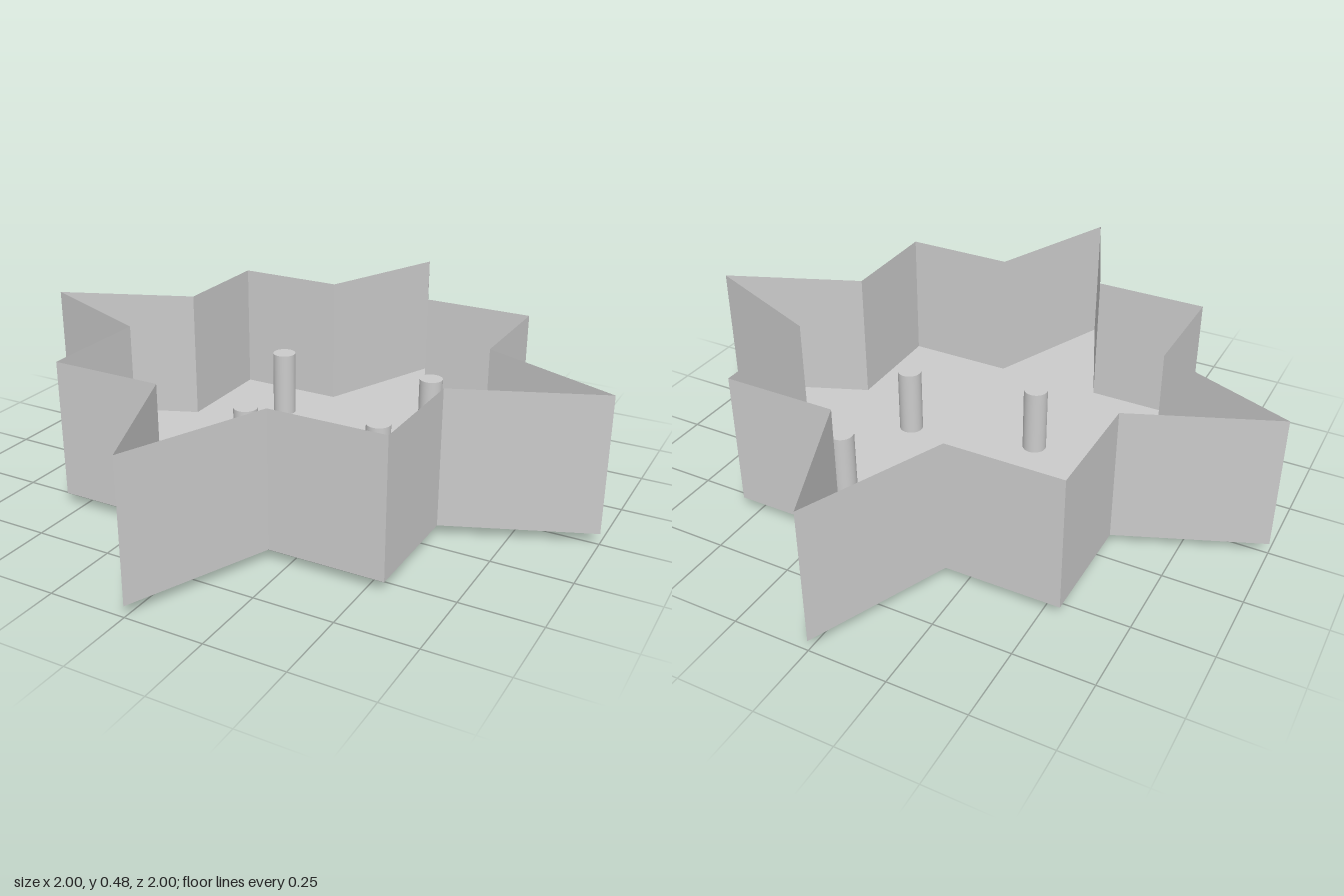
import * as THREE from 'three';

const FLOOR_Y = 0.035, RIM_Y = 0.48;
const PEG_RADIUS = 0.04, PEG_HEIGHT = 0.262;

// Eight-pointed outline: one quarter (spike, notch, corner, notch) turned four times
function starOutline() {
  const quarter = [[1, 0], [0.555, 0.185], [0.555, 0.555], [0.185, 0.555]];
  const points = [];
  for (let i = 0; i < 4; i++) {
    for (const [x, y] of quarter) {
      points.push(new THREE.Vector2(x, y).rotateAround(new THREE.Vector2(), i * Math.PI / 2));
    }
  }
  return points;
}

export function createModel() {
  const group = new THREE.Group();
  const sheet = new THREE.MeshStandardMaterial({ color: 0xcccccc, side: THREE.DoubleSide, flatShading: true });
  const solid = new THREE.MeshStandardMaterial({ color: 0xcccccc });
  const outline = starOutline();

  // Flat star floor
  const floorGeometry = new THREE.ShapeGeometry(new THREE.Shape(outline));
  floorGeometry.rotateX(-Math.PI / 2);
  const floor = new THREE.Mesh(floorGeometry, sheet);
  floor.name = 'floor';
  floor.position.y = FLOOR_Y;
  group.add(floor);

  // Thin upright wall panels along the outline
  const walls = new THREE.Group();
  walls.name = 'walls';
  outline.forEach((a, i) => {
    const b = outline[(i + 1) % outline.length];
    const panel = new THREE.Mesh(new THREE.PlaneGeometry(a.distanceTo(b), RIM_Y - FLOOR_Y), sheet);
    panel.name = 'wallPanel';
    panel.position.set((a.x + b.x) / 2, (FLOOR_Y + RIM_Y) / 2, -(a.y + b.y) / 2);
    panel.rotation.y = Math.atan2(b.y - a.y, b.x - a.x);
    walls.add(panel);
  });
  group.add(walls);

  // Round pegs passing through the floor, also serving as feet
  const pegGeometry = new THREE.CylinderGeometry(PEG_RADIUS, PEG_RADIUS, PEG_HEIGHT, 32);
  for (const [x, z] of [[-0.282, -0.353], [0.284, -0.377], [0.29, 0.051], [-0.142, 0.142]]) {
    const peg = new THREE.Mesh(pegGeometry, solid);
    peg.name = 'peg';
    peg.position.set(x, PEG_HEIGHT / 2, z);
    group.add(peg);
  }
  return group;
}
